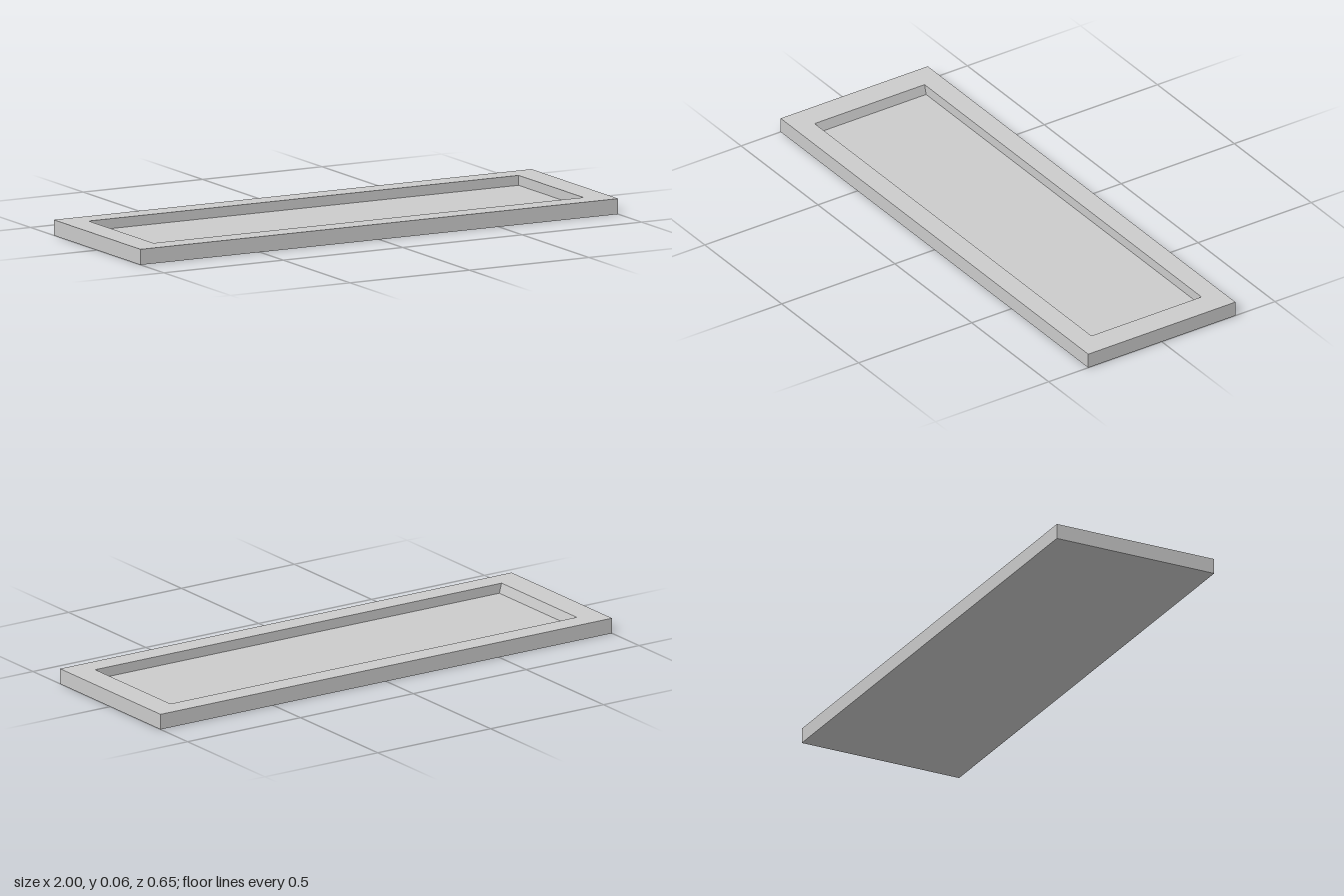
import * as THREE from 'three';

// Rectangular cross-section at height y, corners counter-clockwise from above
const ring = (y, left, right, halfDepth) => [
  [left, y, halfDepth],
  [right, y, halfDepth],
  [right, y, -halfDepth],
  [left, y, -halfDepth],
];

export function createModel() {
  const group = new THREE.Group();
  group.name = 'shallowTray';

  // Sections run up the outside, across the rim and down into the recess
  const sections = [
    ring(0, -1, 1, 0.325),
    ring(0.058, -1, 1, 0.325),
    ring(0.058, -0.9, 0.9, 0.243),
    ring(0.021, -0.89, 0.9, 0.243), // left wall of the recess leans slightly
  ];

  const positions = [];
  const quad = (a, b, c, d) => positions.push(...a, ...b, ...c, ...a, ...c, ...d);

  // Outer walls, rim and recess walls
  for (let s = 0; s < sections.length - 1; s++) {
    const lower = sections[s];
    const upper = sections[s + 1];
    for (let i = 0; i < 4; i++) {
      const j = (i + 1) % 4;
      quad(lower[i], lower[j], upper[j], upper[i]);
    }
  }

  // Recess floor and underside
  quad(...sections[sections.length - 1]);
  quad(...[...sections[0]].reverse());

  const geometry = new THREE.BufferGeometry();
  geometry.setAttribute('position', new THREE.Float32BufferAttribute(positions, 3));
  geometry.computeVertexNormals();

  const tray = new THREE.Mesh(
    geometry,
    new THREE.MeshStandardMaterial({ color: 0xcccccc, flatShading: true })
  );
  tray.name = 'tray';
  group.add(tray);
  return group;
}
